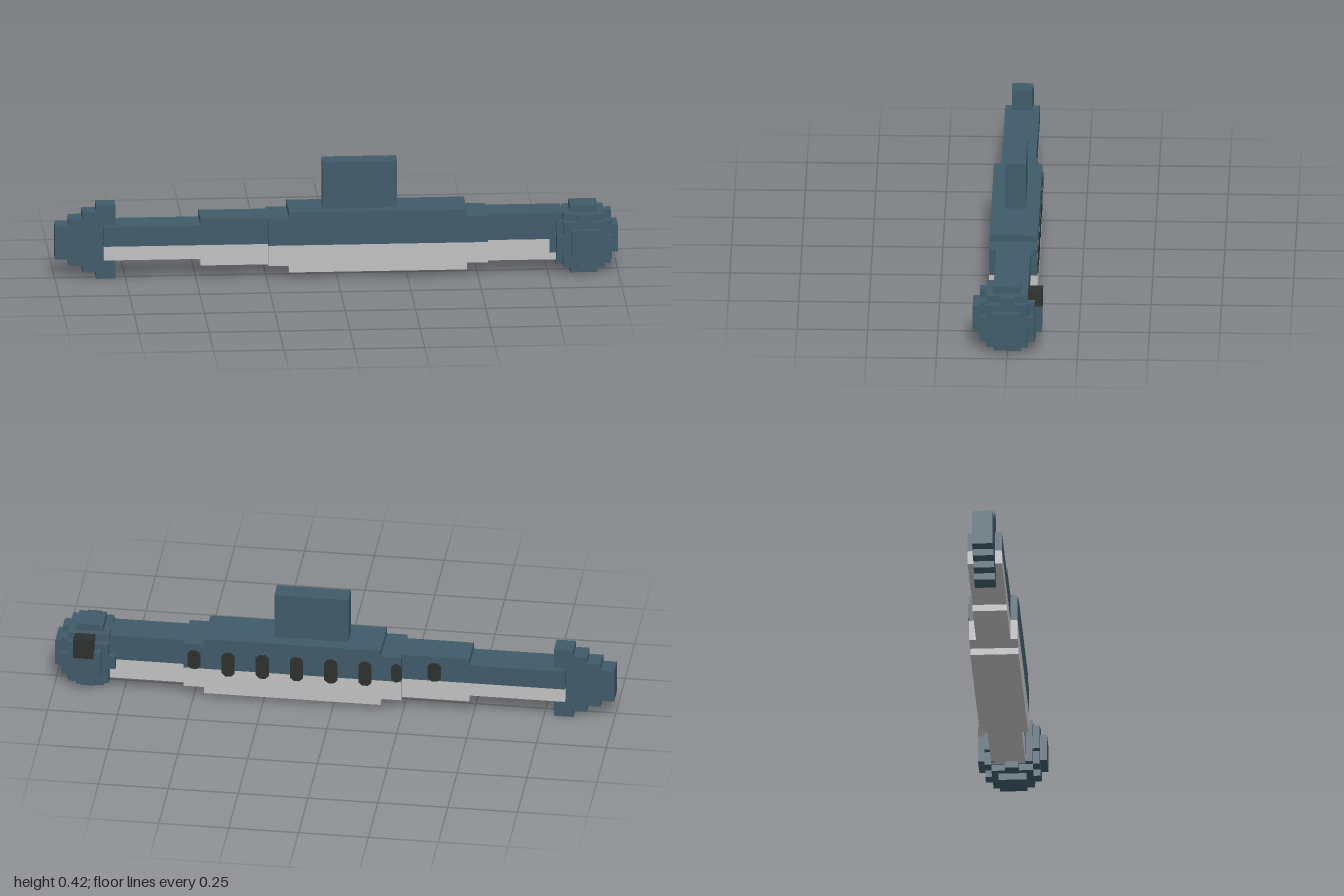
import * as THREE from 'three';

const U = 0.0245; // block unit

const mat = (name, color, side = THREE.FrontSide) =>
  Object.assign(new THREE.MeshStandardMaterial({ color, side }), { name });

export function createModel() {
  const model = new THREE.Group();
  model.name = 'blockFish';
  const blue = mat('slateBlue', 0x3f5a69);
  const grey = mat('bellyGrey', 0xc0c0c0);
  const dark = mat('darkSpot', 0x2d302d);

  const group = (name) => {
    const g = new THREE.Group();
    g.name = name;
    model.add(g);
    return g;
  };
  // Box given by its limits on each axis
  const box = (parent, name, material, [x0, x1], [y0, y1], [z0, z1]) => {
    const mesh = new THREE.Mesh(new THREE.BoxGeometry(x1 - x0, y1 - y0, z1 - z0), material);
    mesh.position.set((x0 + x1) / 2, (y0 + y1) / 2, (z0 + z1) / 2);
    mesh.name = name;
    parent.add(mesh);
  };

  // Body: stepped sections, blue above the waterline and grey below
  const body = group('body');
  const split = 0.124;
  const narrow = [-3 * U, 2 * U - 0.0006];
  const wide = [-4 * U, 3 * U];
  const sections = [
    ['rearBody', [-0.828, -0.485], [3 * U, 8 * U], narrow],
    ['mainBody', [-0.485, 0.8], [2 * U, 9 * U], narrow],
    ['wideBody', [-0.245, 0.535], [2 * U, 9 * U], wide],
    ['deepBody', [-0.171, 0.461], [U, 10 * U], wide],
  ];
  for (const [name, x, [y0, y1], z] of sections) {
    box(body, name + 'Back', blue, x, [split, y1], z);
    box(body, name + 'Belly', grey, x, [y0, split], z);
  }

  // Dorsal fin
  box(model, 'dorsalFin', blue, [-0.049, 0.216], [10 * U, 17 * U - 0.001], [-2 * U, U]);

  // Tail fin: steps growing taller toward the body
  const tail = group('tailFin');
  const tailX = [-1, -0.952, -0.903, -0.854, -0.785];
  for (let i = 0; i < 4; i++) {
    box(tail, 'tailStep', blue, [tailX[i], tailX[i + 1]], [(3 - i) * U, (8 + i) * U], [-2 * U, U]);
  }

  // Head: blocky ball made of crossing boxes, sizes are half extents in units
  const head = group('head');
  head.position.set(1 - 5 * U, 5 * U, 0);
  const halves = [
    [5, 2, 2], [2, 5, 2], [2, 2, 5],
    [4, 4, 1], [4, 1, 4], [1, 4, 4],
    [4, 3, 3], [3, 4, 3], [3, 3, 4],
  ];
  for (const h of halves) {
    box(head, 'headBlock', blue, ...h.map((n) => [-n * U, n * U]));
  }

  // Eye block on the back side
  box(model, 'eye', dark, [0.853, 0.926], [6 * U, 9 * U + 0.0008], [-5 * U - 0.002, -3 * U]);

  // Row of chamfered spots along the back side
  const spots = group('sideSpots');
  const spot = (x, y0, y1, w, z) => {
    const c = 0.013, h = y1 - y0;
    const shape = new THREE.Shape([
      [-w / 2 + c, 0], [w / 2 - c, 0], [w / 2, c], [w / 2, h - c],
      [w / 2 - c, h], [-w / 2 + c, h], [-w / 2, h - c], [-w / 2, c],
    ].map(([a, b]) => new THREE.Vector2(a, b)));
    const mesh = new THREE.Mesh(
      new THREE.ExtrudeGeometry(shape, { depth: 0.004, bevelEnabled: false }), dark);
    mesh.position.set(x, y0, z - 0.002);
    mesh.name = 'spot';
    spots.add(mesh);
  };
  for (let k = 0; k < 8; k++) {
    const x = 0.497 - k * 5 * U;
    const short = k === 0 || k >= 6;
    const z = k === 7 ? -3 * U : -4 * U;
    spot(k === 6 ? -0.227 : x, short ? 0.122 : 0.1, 0.196, k === 6 ? 0.036 : 0.047, z);
  }
  return model;
}
